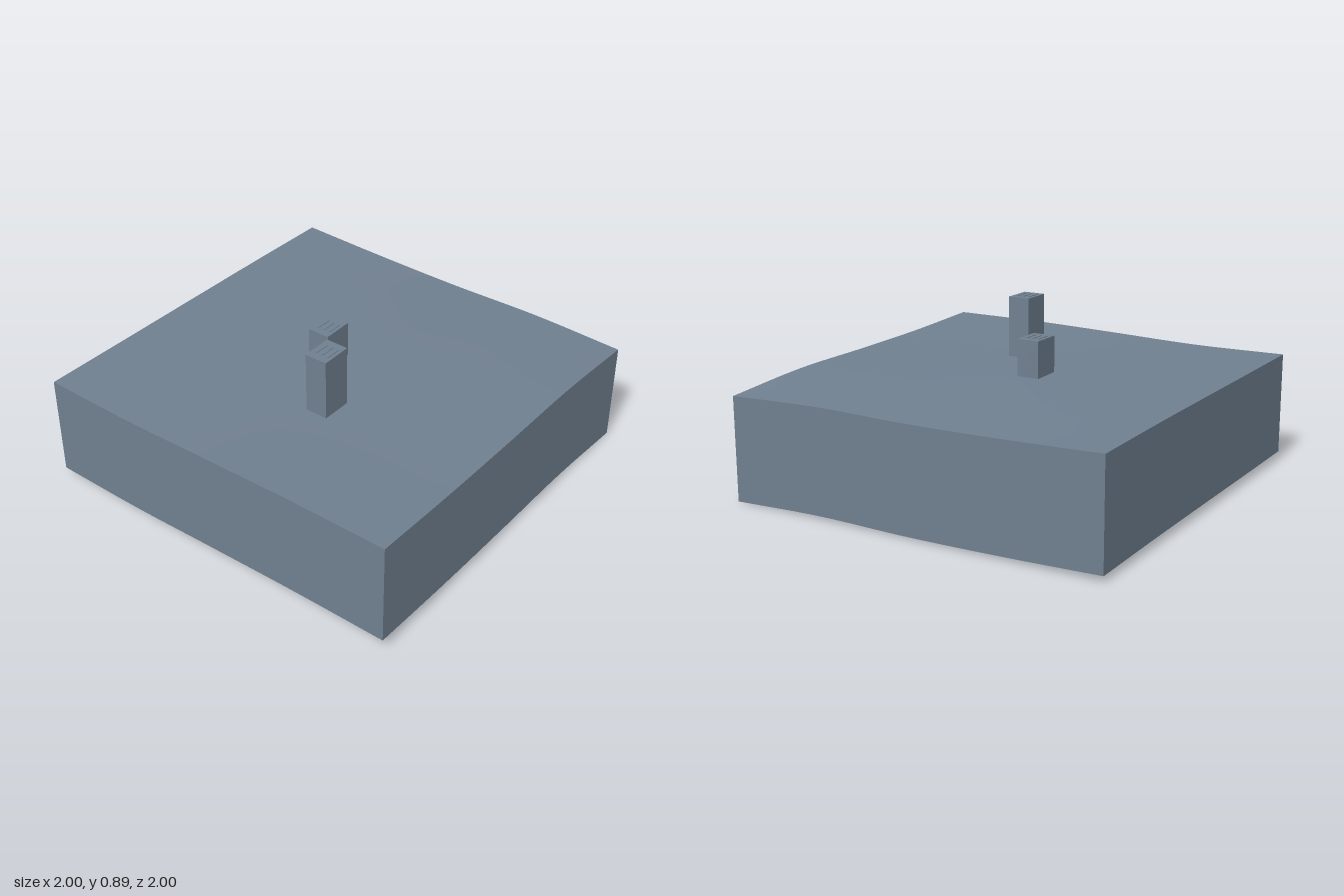
import * as THREE from 'three';

// Ground heights on a 5 x 5 grid: rows run back to front, columns run x = -1 to 1
const HEIGHTS = [
  [0.565, 0.551, 0.545, 0.551, 0.535],
  [0.572, 0.563, 0.560, 0.566, 0.568],
  [0.575, 0.570, 0.570, 0.573, 0.572],
  [0.577, 0.574, 0.577, 0.580, 0.580],
  [0.580, 0.575, 0.588, 0.599, 0.600],
];
const SKIRT = 0.53;
const STEPS = 32;

// Smooth interpolation through five evenly spaced values, t from -1 to 1
function spline(v, t) {
  const s = (t + 1) * 2;
  const i = Math.min(3, Math.max(0, Math.floor(s)));
  const f = s - i;
  const b = v[i], c = v[i + 1];
  const a = i > 0 ? v[i - 1] : 2 * b - c;
  const d = i < 3 ? v[i + 2] : 2 * c - b;
  return b + 0.5 * f * (c - a + f * (2 * a - 5 * b + 4 * c - d + f * (3 * (b - c) + d - a)));
}

function groundHeight(x, z) {
  return spline(HEIGHTS.map((row) => spline(row, x)), z);
}

// Rolling top surface
function groundGeometry() {
  const geo = new THREE.PlaneGeometry(2, 2, STEPS, STEPS).rotateX(-Math.PI / 2);
  const p = geo.attributes.position;
  for (let i = 0; i < p.count; i++) p.setY(i, groundHeight(p.getX(i), p.getZ(i)));
  geo.computeVertexNormals();
  return geo;
}

// One side wall of constant depth, following the edge of the ground
function wallGeometry(turn) {
  const geo = new THREE.PlaneGeometry(2, 1, STEPS, 1).translate(0, 0, 1).rotateY(turn);
  const p = geo.attributes.position;
  for (let i = 0; i < p.count; i++) {
    const top = groundHeight(p.getX(i), p.getZ(i));
    p.setY(i, p.getY(i) > 0 ? top : top - SKIRT);
  }
  geo.computeVertexNormals();
  return geo;
}

export function createModel() {
  const model = new THREE.Group();
  const slate = new THREE.MeshStandardMaterial({ color: 0x708090, side: THREE.DoubleSide });
  slate.name = 'slate';

  const add = (parent, name, geo) => {
    const mesh = new THREE.Mesh(geo, slate);
    mesh.name = name;
    parent.add(mesh);
    return mesh;
  };

  // Ground block, open underneath
  add(model, 'ground', groundGeometry());
  ['frontWall', 'leftWall', 'backWall', 'rightWall'].forEach((name, i) => {
    add(model, name, wallGeometry((i * Math.PI) / 2));
  });

  // Two towers with slim roof slats
  const towers = [
    { name: 'shortTower', x: -0.087, z: 0, top: 0.757 },
    { name: 'tallTower', x: 0.167, z: 0.335, top: 0.889 },
  ];
  for (const { name, x, z, top } of towers) {
    const tower = new THREE.Group();
    tower.name = name;
    tower.position.set(x, 0, z);
    const base = groundHeight(x, z) - 0.004;
    add(tower, 'towerBody', new THREE.BoxGeometry(0.118, top - base, 0.16))
      .position.y = (top + base) / 2;
    for (const sx of [-0.033, 0, 0.033]) {
      add(tower, 'roofSlat', new THREE.BoxGeometry(0.016, 0.004, 0.08))
        .position.set(sx, top + 0.001, 0);
    }
    model.add(tower);
  }
  return model;
}
